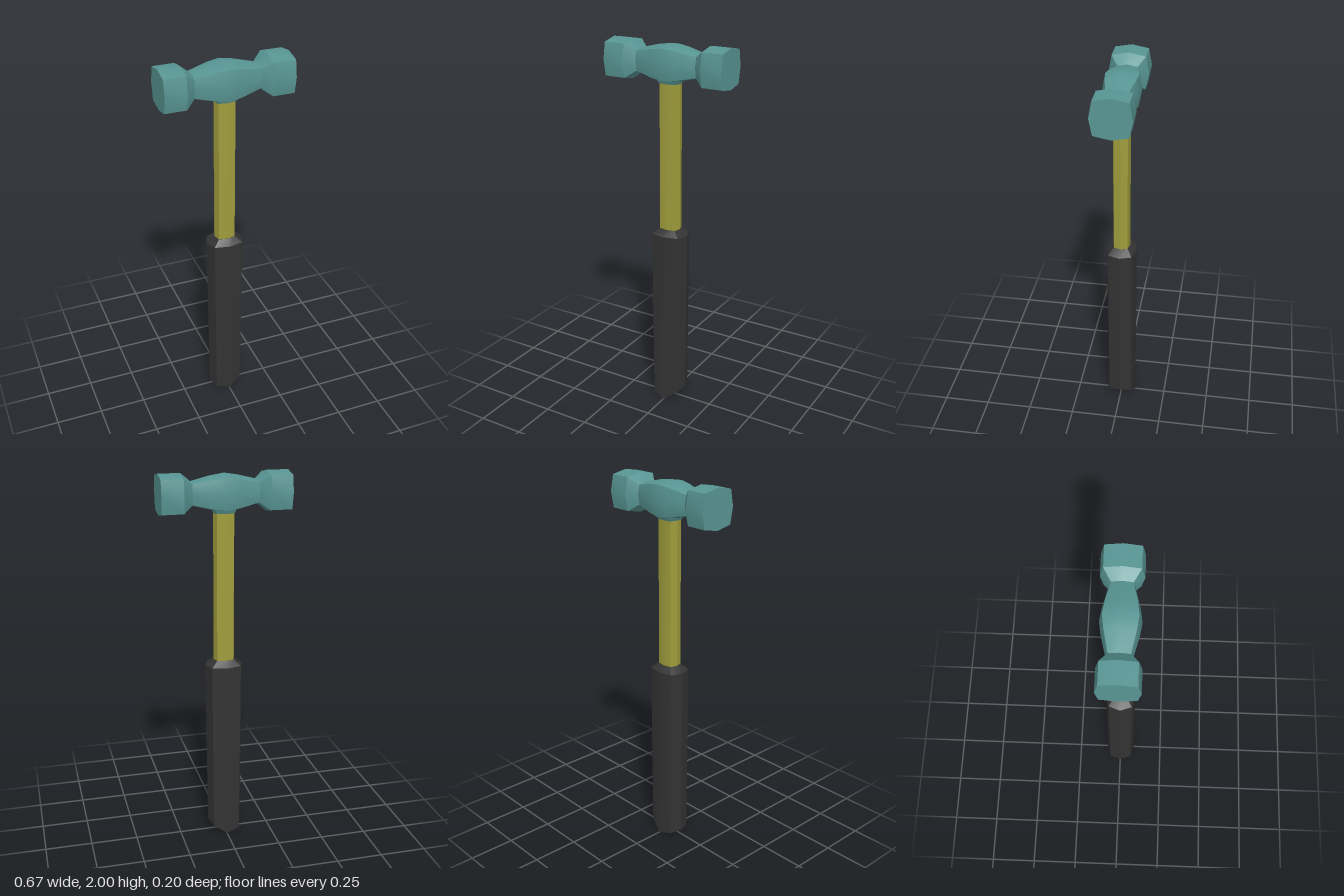
import * as THREE from 'three';
import { toCreasedNormals } from 'three/addons/utils/BufferGeometryUtils.js';

// Boxy octagon with half sizes a (x) and b (z); y may vary with x
function ring(y, a, b = a, k = 0.84) {
  const unit = [[1, 0], [k, k], [0, 1], [-k, k], [-1, 0], [-k, -k], [0, -1], [k, -k]];
  return unit.map(([u, v]) => {
    const x = a * u;
    return [x, typeof y === 'function' ? y(x) : y, b * v];
  });
}

// Skin a stack of rings from bottom to top and close both ends
function loft(name, rings, color, capBottom = 0) {
  const n = 8, pos = [], index = [];
  rings.forEach(r => r.forEach(p => pos.push(...p)));
  for (let j = 0; j < rings.length - 1; j++) {
    for (let i = 0; i < n; i++) {
      const a = j * n + i, b = j * n + (i + 1) % n;
      index.push(a, a + n, b, b, a + n, b + n);
    }
  }
  const last = (rings.length - 1) * n, c = rings.length * n;
  pos.push(0, capBottom, 0, 0, rings[rings.length - 1][0][1], 0);
  for (let i = 0; i < n; i++) {
    const k = (i + 1) % n;
    index.push(c, i, k, c + 1, last + k, last + i);
  }
  const geo = new THREE.BufferGeometry();
  geo.setAttribute('position', new THREE.Float32BufferAttribute(pos, 3));
  geo.setIndex(index);
  const mesh = new THREE.Mesh(
    toCreasedNormals(geo, Math.PI / 6),
    new THREE.MeshStandardMaterial({ color })
  );
  mesh.name = name;
  return mesh;
}

export function createModel() {
  const group = new THREE.Group();
  group.name = 'hammer';
  const teal = 0x589694, yellow = 0x9f9d3c, black = 0x333333;

  // Double-faced head, lofted along its length and laid along x
  const half = [[0.333, 0.102], [0.22, 0.102], [0.17, 0.06], [0.065, 0.086]];
  const profile = [
    ...half.map(([x, r]) => [-x, r]),
    [0, 0.096],
    ...[...half].reverse(),
  ];
  const head = loft('head', profile.map(([x, r]) => ring(x, r)), teal, -0.333);
  head.rotation.z = -Math.PI / 2;
  head.position.y = 1.898;
  group.add(head);

  // Collar joining the head and shaft
  group.add(loft('collar', [
    ring(1.797, 0.056, 0.047),
    ring(1.822, 0.066, 0.058),
    ring(1.85, 0.08, 0.068),
  ], teal, 1.797));

  // Shaft
  group.add(loft('shaft', [
    ring(1.0, 0.055, 0.045, 0.8),
    ring(1.81, 0.055, 0.045, 0.8),
  ], yellow, 1.0));

  // Grip with a chamfered shoulder and a slanted butt
  const butt = x => (x > 0 ? 0.7 * x : -0.25 * x);
  group.add(loft('grip', [
    ring(butt, 0.092, 0.08, 0.78),
    ring(0.99, 0.1, 0.08, 0.78),
    ring(1.02, 0.056, 0.047, 0.8),
  ], black));

  return group;
}
